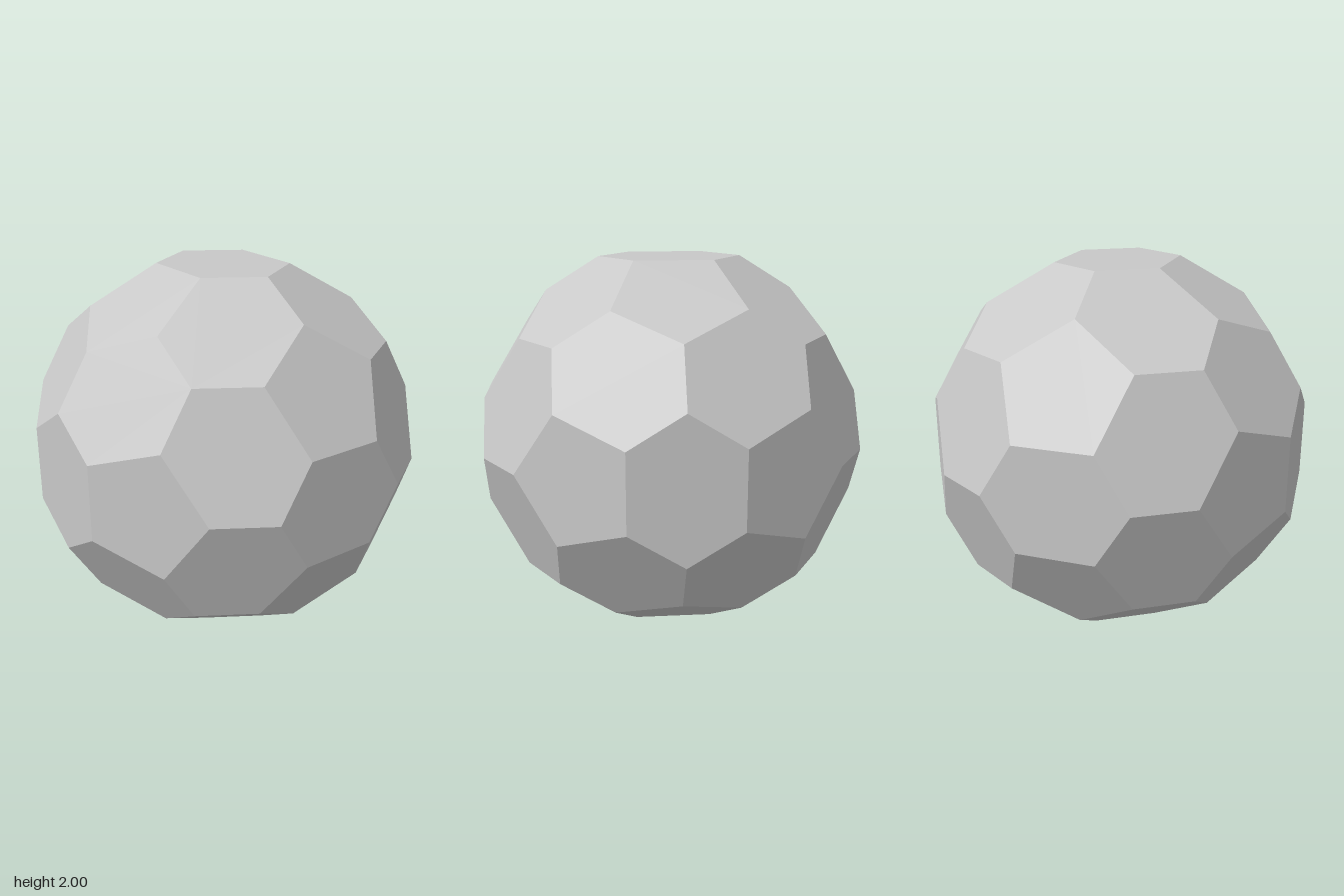
import * as THREE from 'three';

const G = (Math.sqrt(5) - 1) / 2; // golden ratio minus one

// All sign variations and cyclic shifts of (x, y, z), without repeats
function symmetric(x, y, z) {
  const found = new Map();
  for (const [a, b, c] of [[x, y, z], [y, z, x], [z, x, y]]) {
    for (const i of [1, -1]) for (const j of [1, -1]) for (const k of [1, -1]) {
      const v = new THREE.Vector3(a * i + 0, b * j + 0, c * k + 0);
      found.set(v.toArray().map((n) => (n + 0).toFixed(4).replace('-0.0000', '0.0000')).join(), v);
    }
  }
  return [...found.values()];
}

// Flat polygons, one per normal, each joining the corners that lie on its plane
function facesFrom(normals, corners) {
  const positions = [];
  for (const n of normals) {
    const ring = corners.filter((c) => c.dot(n) > 0.999);
    const u = ring[0].clone().addScaledVector(n, -ring[0].dot(n)).normalize();
    const w = n.clone().cross(u);
    const angle = (p) => Math.atan2(p.dot(w), p.dot(u));
    ring.sort((a, b) => angle(a) - angle(b));
    for (let i = 1; i < ring.length - 1; i++) {
      positions.push(...ring[0].toArray(), ...ring[i].toArray(), ...ring[i + 1].toArray());
    }
  }
  const geometry = new THREE.BufferGeometry();
  geometry.setAttribute('position', new THREE.Float32BufferAttribute(positions, 3));
  geometry.translate(0, 1, 0);
  geometry.computeVertexNormals();
  return geometry;
}

export function createModel() {
  const apexes = symmetric(0, G, 1); // over the pentagons
  const joints = [...symmetric(G * G, 0, 1), ...symmetric(G, G, G).slice(0, 8)]; // where three hexagons meet

  // Pentagon planes touch the unit sphere, cutting each joint-to-apex edge here
  const r = apexes[0].length();
  const cut = (r - 1) * r / G / G;
  const t = 1 - cut;
  const corners = [...joints];
  for (const j of joints) for (const a of apexes) {
    if (j.distanceTo(a) < 0.75) corners.push(j.clone().lerp(a, t));
  }

  const pentagonNormals = apexes.map((a) => a.clone().normalize());
  const hexagonNormals = [];
  apexes.forEach((a, i) => apexes.slice(i + 1).forEach((b) => {
    if (a.distanceTo(b) < 1.3) hexagonNormals.push(a.clone().add(b).multiplyScalar(0.5));
  }));

  const grey = new THREE.MeshStandardMaterial({ color: 0xc8c8c8 });
  grey.name = 'grey';

  const group = new THREE.Group();
  group.name = 'facetedBall';
  const parts = { pentagonFaces: pentagonNormals, hexagonFaces: hexagonNormals };
  for (const [name, normals] of Object.entries(parts)) {
    const mesh = new THREE.Mesh(facesFrom(normals, corners), grey);
    mesh.name = name;
    group.add(mesh);
  }
  return group;
}
